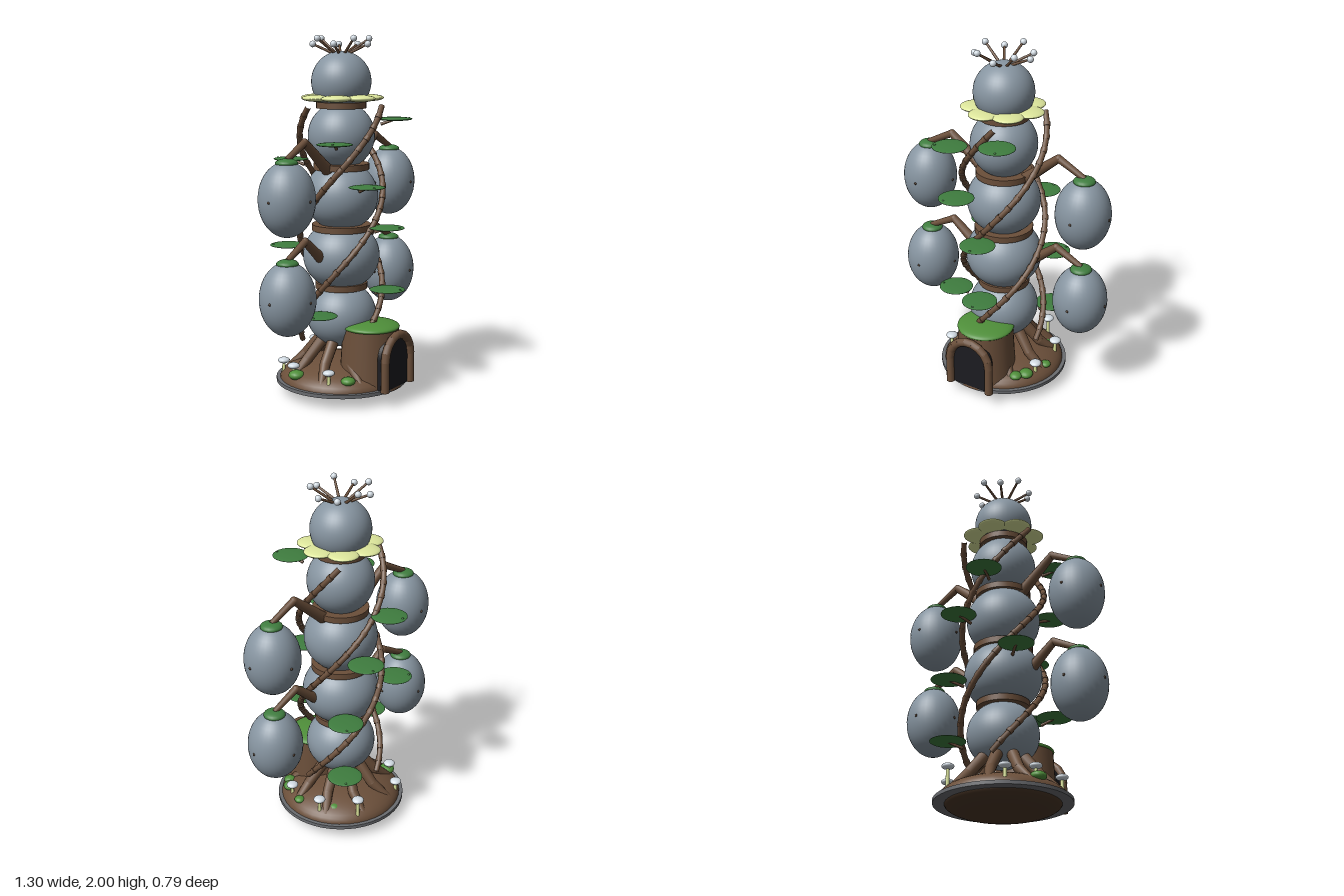
import * as THREE from 'three';

const V = (x, y, z) => new THREE.Vector3(x, y, z);
const mat = (color) => new THREE.MeshStandardMaterial({ color });

export function createModel() {
  const root = new THREE.Group();
  const M = {
    orb: mat(0x8795a1), bark: mat(0x6b4f3a), dark: mat(0x4a3626), leaf: mat(0x3f7d3f), moss: mat(0x4f8f3a),
    petal: mat(0xdde69c), white: mat(0xd3dce4), stone: mat(0x6a6c70), door: mat(0x1b1c20),
  };
  const add = (name, geo, m, x = 0, y = 0, z = 0, parent = root) => {
    const mesh = new THREE.Mesh(geo, m);
    mesh.name = name;
    mesh.position.set(x, y, z);
    parent.add(mesh);
    return mesh;
  };
  const ball = (name, m, x, y, z, rx, ry = rx, rz = rx, seg = 24, parent = root) =>
    add(name, new THREE.SphereGeometry(1, seg, Math.ceil(seg * 0.67)).scale(rx, ry, rz), m, x, y, z, parent);
  // Tapered cylinder between two points
  const rod = (name, a, b, ra, rb, m, parent = root) => {
    const d = b.clone().sub(a);
    const mesh = add(name, new THREE.CylinderGeometry(rb, ra, d.length(), 12), m, 0, 0, 0, parent);
    mesh.position.copy(a).addScaledVector(d, 0.5);
    mesh.quaternion.setFromUnitVectors(V(0, 1, 0), d.normalize());
    return mesh;
  };
  const tube = (name, pts, r, seg, m) =>
    add(name, new THREE.TubeGeometry(new THREE.CatmullRomCurve3(pts), seg, r, 8), m);

  // Base: stone rim, rounded underside, earth mound
  add('baseRim', new THREE.CylinderGeometry(0.37, 0.37, 0.02, 48), M.stone, 0, 0.075, 0);
  add('baseUnderside', new THREE.SphereGeometry(1, 40, 12, 0, Math.PI * 2, Math.PI / 2, Math.PI / 2)
    .scale(0.31, 0.07, 0.31), M.dark, 0, 0.07, 0);
  add('mound', new THREE.SphereGeometry(1, 40, 12, 0, Math.PI * 2, 0, Math.PI / 2)
    .scale(0.35, 0.12, 0.35), M.bark, 0, 0.08, 0);

  // Trunk of stacked orbs, with a collar at each joint
  for (const [y, r, h] of [[0.445, 0.197, 0.185], [0.785, 0.215, 0.195], [1.12, 0.205, 0.195], [1.455, 0.185, 0.185], [1.75, 0.165, 0.165]])
    ball('trunkOrb', M.orb, 0, y, 0, r, h, r, 40);
  for (const [y, r] of [[0.615, 0.147], [0.945, 0.165], [1.285, 0.155], [1.622, 0.138]])
    add('collar', new THREE.CylinderGeometry(r, r, 0.034, 32), M.bark, 0, y, 0);

  // Roots spreading over the mound
  for (let i = 0; i < 8; i++) {
    const a = Math.PI / 2 + ((i + 0.9) / 8.8) * Math.PI * 2;
    const p = (r, y, t = 0) => V(r * Math.cos(a + t), y, r * Math.sin(a + t));
    rod('rootUpper', p(0.1, 0.33), p(0.21, 0.2, 0.05), 0.034, 0.03, M.bark);
    ball('rootKnee', M.bark, ...p(0.21, 0.2, 0.05).toArray(), 0.03, 0.03, 0.03, 10);
    rod('rootLower', p(0.21, 0.2, 0.05), p(0.32, 0.1, -0.04), 0.03, 0.02, M.bark);
  }

  // Entrance hut with mossy roof
  add('hut', new THREE.CylinderGeometry(0.155, 0.175, 0.34, 32), M.bark, 0, 0.24, 0.2);
  ball('hutRoof', M.moss, 0, 0.405, 0.2, 0.162, 0.032, 0.162, 32);

  // Arched door and its segmented frame
  const arch = new THREE.Shape();
  arch.moveTo(-0.12, 0.085);
  arch.lineTo(0.12, 0.085);
  arch.lineTo(0.12, 0.25);
  arch.absarc(0, 0.25, 0.12, 0, Math.PI, false);
  arch.closePath();
  add('door', new THREE.ExtrudeGeometry(arch, { depth: 0.05, bevelEnabled: false, curveSegments: 16 }), M.door, 0, 0, 0.325);
  for (const s of [-1, 1]) {
    rod('doorPost', V(s * 0.128, 0.085, 0.38), V(s * 0.128, 0.26, 0.38), 0.024, 0.022, M.bark);
  }
  for (let i = 0; i < 9; i++) {
    const p = (k) => V(0.128 * Math.cos(k * Math.PI / 9), 0.255 + 0.128 * Math.sin(k * Math.PI / 9), 0.38);
    rod('doorArch', p(i - 0.1), p(i + 1.1), 0.024, 0.024, M.bark);
  }

  // Hanging pods, two per side, on bent branches
  for (const s of [-1, 1]) for (const y of [0.625, 1.155]) {
    const g = new THREE.Group();
    g.name = 'podBranch';
    g.position.y = y;
    root.add(g);
    const elbow = V(s * 0.335, 0.285, 0);
    rod('branchInner', V(s * 0.12, 0.11, 0), elbow, 0.034, 0.022, M.bark, g);
    ball('branchElbow', M.bark, ...elbow.toArray(), 0.022, 0.022, 0.022, 12, g);
    rod('branchOuter', elbow, V(s * 0.49, 0.205, 0), 0.021, 0.016, M.bark, g);
    ball('pod', M.orb, s * 0.49, 0, 0, 0.152, 0.2, 0.152, 32, g);
    ball('podCap', M.leaf, s * 0.49, 0.19, 0, 0.06, 0.024, 0.06, 20, g);
    for (let i = 0; i < 4; i++) {
      const a = i * Math.PI / 2;
      ball('podSpot', M.dark, s * 0.49 + 0.15 * Math.cos(a), 0, 0.15 * Math.sin(a), 0.008, 0.008, 0.008, 8, g);
    }
  }

  // Three vines winding round the trunk
  const rad = THREE.MathUtils.degToRad;
  for (const end of [72, 195, 315]) {
    const pts = [];
    for (let i = 0; i <= 24; i++) {
      const y = 1.62 - (i / 24) * 1.34, a = rad(end + (1.62 - y) * 220);
      pts.push(V(0.23 * Math.cos(a), y, 0.23 * Math.sin(a)));
    }
    tube('vine', pts, 0.016, 96, M.bark);
    // Bark knots along the vine
    for (let i = 1; i < 24; i++) {
      const d = pts[i + 1].clone().sub(pts[i - 1]).setLength(0.012);
      rod('vineKnot', pts[i].clone().sub(d), pts[i].clone().add(d), 0.0185, 0.0185, M.bark);
    }
  }

  // Broad round leaves on short stalks
  const leaves = [[0.12, 1.55, 0.27], [-0.26, 1.43, 0.14], [-0.14, 1.2, 0.265], [0.01, 0.965, 0.295], [0.02, 0.62, 0.295],
    [-0.29, 0.5, 0.06], [-0.08, 1.315, -0.29], [0.09, 1.08, -0.29], [-0.23, 0.855, -0.2], [0.19, 0.735, -0.24], [0.19, 0.385, -0.235]];
  for (const [x, y, z] of leaves) {
    const k = 0.22 / Math.hypot(x, z);
    ball('leaf', M.leaf, x, y, z, 0.098, 0.01, 0.098, 28);
    rod('leafStalk', V(x * k, y - 0.03, z * k), V(x, y - 0.004, z), 0.009, 0.006, M.bark);
    ball('leafTip', M.leaf, x * (1 + 0.08 / Math.hypot(x, z)), y + 0.004, z * (1 + 0.08 / Math.hypot(x, z)), 0.007, 0.007, 0.007, 8);
  }

  // Flower collar below the top orb
  for (let i = 0; i < 7; i++) {
    const a = (i / 7) * Math.PI * 2;
    ball('petal', M.petal, 0.15 * Math.cos(a), 1.662, 0.15 * Math.sin(a), 0.085, 0.019, 0.085);
  }

  // Crown of stamens
  for (let i = 0; i < 9; i++) {
    const a = (i / 9) * Math.PI * 2, y = i % 2 ? 1.982 : 1.952;
    const tip = V(0.157 * Math.cos(a), y, 0.157 * Math.sin(a));
    rod('stamen', V(0.04 * Math.cos(a), 1.9, 0.04 * Math.sin(a)), tip, 0.008, 0.006, M.bark);
    ball('stamenTip', M.white, ...tip.toArray(), 0.018, 0.018, 0.018, 14);
  }

  // Mushrooms and moss clumps on the mound
  for (const [x, y, z] of [[0.28, 0.21, -0.12], [0.28, 0.19, 0.115], [-0.29, 0.19, -0.12], [0.14, 0.225, -0.29], [-0.29, 0.19, 0.12], [-0.2, 0.175, -0.26]]) {
    rod('mushroomStem', V(x, 0.09, z), V(x, y, z), 0.011, 0.009, M.petal);
    ball('mushroomCap', M.white, x, y, z, 0.034, 0.017, 0.034, 16);
  }
  for (const [x, z, r] of [[0.25, 0.17, 0.04], [0.21, 0.22, 0.035], [0.3, 0.03, 0.03], [-0.29, -0.1, 0.045], [-0.22, 0.2, 0.04], [0.2, -0.16, 0.035]])
    ball('mossClump', M.moss, x, 0.14, z, r, r * 0.6, r, 16);

  return root;
}
